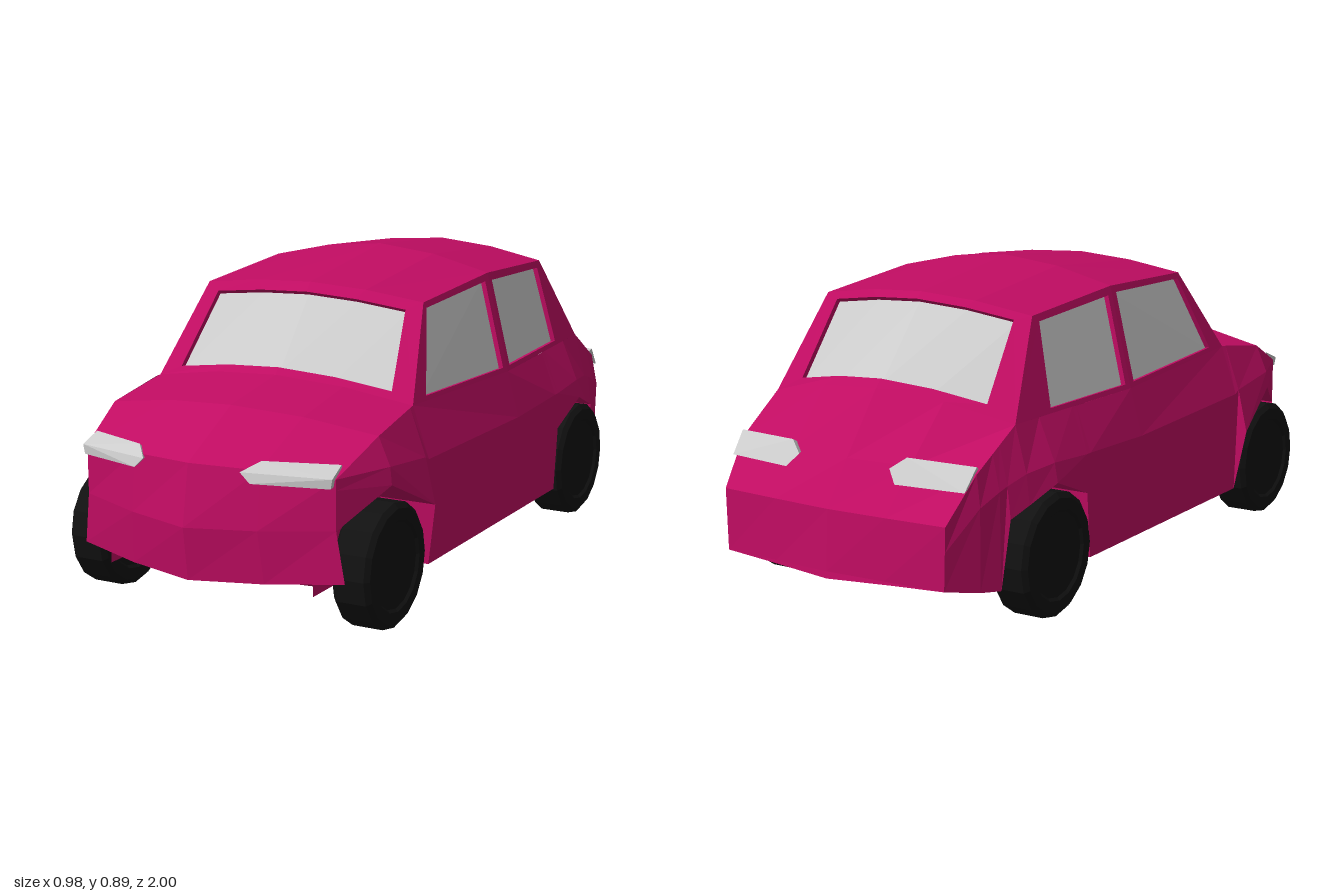
import * as THREE from 'three';
import { ConvexGeometry } from 'three/addons/geometries/ConvexGeometry.js';

const V = (x, y, z) => new THREE.Vector3(x, y, z);
const mat = (color) => new THREE.MeshStandardMaterial({ color, flatShading: true, side: THREE.DoubleSide, roughness: 0.8 });
const paint = mat(0xc00c62), grey = mat(0xcccccc), rubber = mat(0x111111);

function add(parent, name, geometry, material) {
  const mesh = new THREE.Mesh(geometry, material);
  mesh.name = name;
  parent.add(mesh);
  return mesh;
}

// Surface through rows of points (all rows the same length)
function loft(rows) {
  const n = rows[0].length, index = [];
  for (let r = 0; r < rows.length - 1; r++) {
    for (let c = 0; c < n - 1; c++) {
      const a = r * n + c, e = a + n;
      index.push(a, a + 1, e + 1, a, e + 1, e);
    }
  }
  const g = new THREE.BufferGeometry().setFromPoints(rows.flat());
  g.setIndex(index);
  const flat = g.toNonIndexed();
  flat.computeVertexNormals();
  return flat;
}

// Arched row across the car, from its centre point to its edge point
function across([zc, yc, xe, ye, ze]) {
  return [-1, -0.5, 0, 0.5, 1].map((u) => {
    const half = Math.abs(u) === 0.5;
    const ky = half ? 0.3 : Math.abs(u), kz = half ? 0.42 : Math.abs(u);
    return V(u * xe, yc + (ye - yc) * ky, zc + (ze - zc) * kz);
  });
}

function sample(line, u) {
  const t = u * (line.length - 1), i = Math.min(Math.floor(t), line.length - 2);
  return line[i].clone().lerp(line[i + 1], t - i);
}

// Painted frame with a recessed pane; u ranges are given for both rows
function framedWindow(parent, name, low, high, uLow, uHigh, [v0, v1], inward) {
  const n = low.length;
  const inner = [v0, v1].map((v) => low.map((_, i) => {
    const t = i / (n - 1);
    const u = THREE.MathUtils.lerp(
      THREE.MathUtils.lerp(uLow[0], uLow[1], t),
      THREE.MathUtils.lerp(uHigh[0], uHigh[1], t), v);
    return sample(low, u).lerp(sample(high, u), v);
  }));
  const sunk = inner.map((row) => row.map((p) => p.clone().add(inward)));
  const loop = ([a, b]) => [...a, ...[...b].reverse(), a[0]];
  add(parent, name + 'Frame', loft([loop([low, high]), loop(inner), loop(sunk)]), paint);
  add(parent, name + 'Glass', loft(sunk), grey);
}

// Centre z, centre y, edge x, edge y, edge z: nose, over the roof, to the tail
const R = [
  [0.98, 0.15, 0.41, 0.165, 0.86],
  [1.0, 0.3, 0.39, 0.31, 0.87],
  [0.97, 0.47, 0.39, 0.45, 0.87],
  [0.75, 0.58, 0.42, 0.53, 0.69],
  [0.51, 0.615, 0.41, 0.565, 0.47],
  [0.31, 0.847, 0.35, 0.815, 0.29],
  [-0.12, 0.895, 0.355, 0.835, -0.12],
  [-0.55, 0.85, 0.345, 0.81, -0.52],
  [-0.765, 0.615, 0.4, 0.55, -0.69],
  [-0.9, 0.45, 0.39, 0.45, -0.86],
  [-0.99, 0.33, 0.365, 0.33, -0.97],
  [-1.0, 0.16, 0.36, 0.155, -0.97],
].map(across);

// z, then x and y of the belt, the widest line and the lower edge
const SIDE = [
  [0.87, 0.39, 0.45, 0.39, 0.42, 0.39, 0.31],
  [0.69, 0.42, 0.53, 0.455, 0.45, 0.46, 0.4],
  [0.49, 0.412, 0.563, 0.46, 0.43, 0.49, 0.3],
  [0.47, 0.41, 0.565, 0.46, 0.42, 0.46, 0.12],
  [-0.12, 0.425, 0.545, 0.462, 0.41, 0.46, 0.12],
  [-0.4, 0.413, 0.547, 0.46, 0.42, 0.46, 0.12],
  [-0.42, 0.412, 0.548, 0.46, 0.42, 0.462, 0.31],
  [-0.58, 0.405, 0.549, 0.455, 0.43, 0.465, 0.375],
  [-0.69, 0.4, 0.55, 0.435, 0.42, 0.445, 0.335],
  [-0.76, 0.396, 0.509, 0.42, 0.4, 0.43, 0.31],
  [-0.79, 0.394, 0.491, 0.415, 0.39, 0.42, 0.12],
  [-0.86, 0.39, 0.45, 0.4, 0.36, 0.4, 0.13],
  [-0.97, 0.365, 0.33, 0.363, 0.26, 0.36, 0.155],
].map(([z, ...p]) => [0, 2, 4].map((i) => V(p[i], p[i + 1], z)));

function buildSide() {
  const side = new THREE.Group();
  add(side, 'sidePanel', loft(SIDE), paint);

  // Door windows
  const edge = (i) => R[i][4], inward = V(-0.014, -0.003, 0), pillar = SIDE[4][0];
  framedWindow(side, 'frontDoor', [edge(4), pillar], [edge(5), edge(6)],
    [0.13, 0.96], [0.05, 0.94], [0.05, 0.93], inward);
  framedWindow(side, 'rearDoor', [pillar, edge(8)], [edge(6), edge(7)],
    [0.04, 0.7], [0.05, 0.92], [0.05, 0.92], inward);

  // Wheel wells: lining of each arch and its inner wall
  const lows = SIDE.map((s) => s[2]);
  const arches = { front: [edge(0), ...lows.slice(0, 4)], rear: lows.slice(5, 11) };
  for (const [name, arch] of Object.entries(arches)) {
    const inside = arch.map((p) => V(0.32, p.y, p.z));
    const foot = inside.map((p) => V(0.32, 0.12, p.z));
    add(side, name + 'WheelWell', loft([arch, inside, foot]), paint);
  }

  // Wheels: tyre with bevelled shoulders and a shallow hub
  const profile = [[0, -0.05], [0.12, -0.05], [0.128, -0.057], [0.16, -0.057], [0.175, -0.045],
    [0.175, 0.045], [0.16, 0.057], [0.128, 0.057], [0.12, 0.05], [0, 0.05]];
  const tyre = new THREE.LatheGeometry(profile.map(([r, h]) => new THREE.Vector2(r, h)), 16);
  for (const [name, z] of [['frontWheel', 0.68], ['rearWheel', -0.585]]) {
    const wheel = add(side, name, tyre, rubber);
    wheel.rotation.z = -Math.PI / 2;
    wheel.position.set(0.417, 0.175, z);
  }

  // Faceted lamps set into nose and tail
  const lamp = (name, pts) => add(side, name, new ConvexGeometry(pts.map((p) => V(...p))), grey);
  lamp('headlight', [[0.15, 0.46, 0.955], [0.39, 0.455, 0.89], [0.19, 0.485, 0.91], [0.385, 0.48, 0.83],
    [0.18, 0.432, 0.955], [0.385, 0.428, 0.89], [0.19, 0.44, 0.85], [0.38, 0.44, 0.8]]);
  lamp('tailLight', [[0.15, 0.445, -0.915], [0.385, 0.44, -0.885], [0.19, 0.475, -0.89], [0.39, 0.47, -0.86],
    [0.18, 0.41, -0.935], [0.385, 0.41, -0.91], [0.2, 0.44, -0.82], [0.37, 0.44, -0.8]]);
  return side;
}

export function createModel() {
  const car = new THREE.Group();
  car.name = 'car';

  // Upper shell
  add(car, 'noseAndHood', loft(R.slice(0, 5)), paint);
  add(car, 'roof', loft(R.slice(5, 8)), paint);
  add(car, 'tail', loft(R.slice(8)), paint);
  framedWindow(car, 'windscreen', R[4], R[5], [0.08, 0.92], [0.07, 0.93], [0.08, 0.89], V(0, -0.01, -0.012));
  framedWindow(car, 'rearWindow', R[7], R[8], [0.07, 0.93], [0.11, 0.89], [0.08, 0.9], V(0, -0.01, 0.012));

  // Floor, notched at the wheels: z, half width, y, centre z
  const floor = [
    [0.86, 0.41, 0.165, 0.98], [0.86, 0.32, 0.16, 0.94], [0.8, 0.32, 0.125], [0.47, 0.32, 0.12],
    [0.47, 0.46, 0.12], [-0.4, 0.46, 0.12], [-0.4, 0.32, 0.12], [-0.79, 0.32, 0.12],
    [-0.79, 0.42, 0.12], [-0.86, 0.4, 0.13], [-0.97, 0.36, 0.155, -1.0],
  ].map(([z, w, y, zc = z]) => [V(-w, y, z), V(-0.2, y - 0.005, (z + zc) / 2), V(0, y - 0.015, zc),
    V(0.2, y - 0.005, (z + zc) / 2), V(w, y, z)]);
  add(car, 'floor', loft(floor.reverse()), paint);

  // Mirrored sides
  for (const s of [1, -1]) {
    const side = buildSide();
    side.name = s > 0 ? 'leftSide' : 'rightSide';
    side.scale.x = s;
    car.add(side);
  }
  return car;
}
